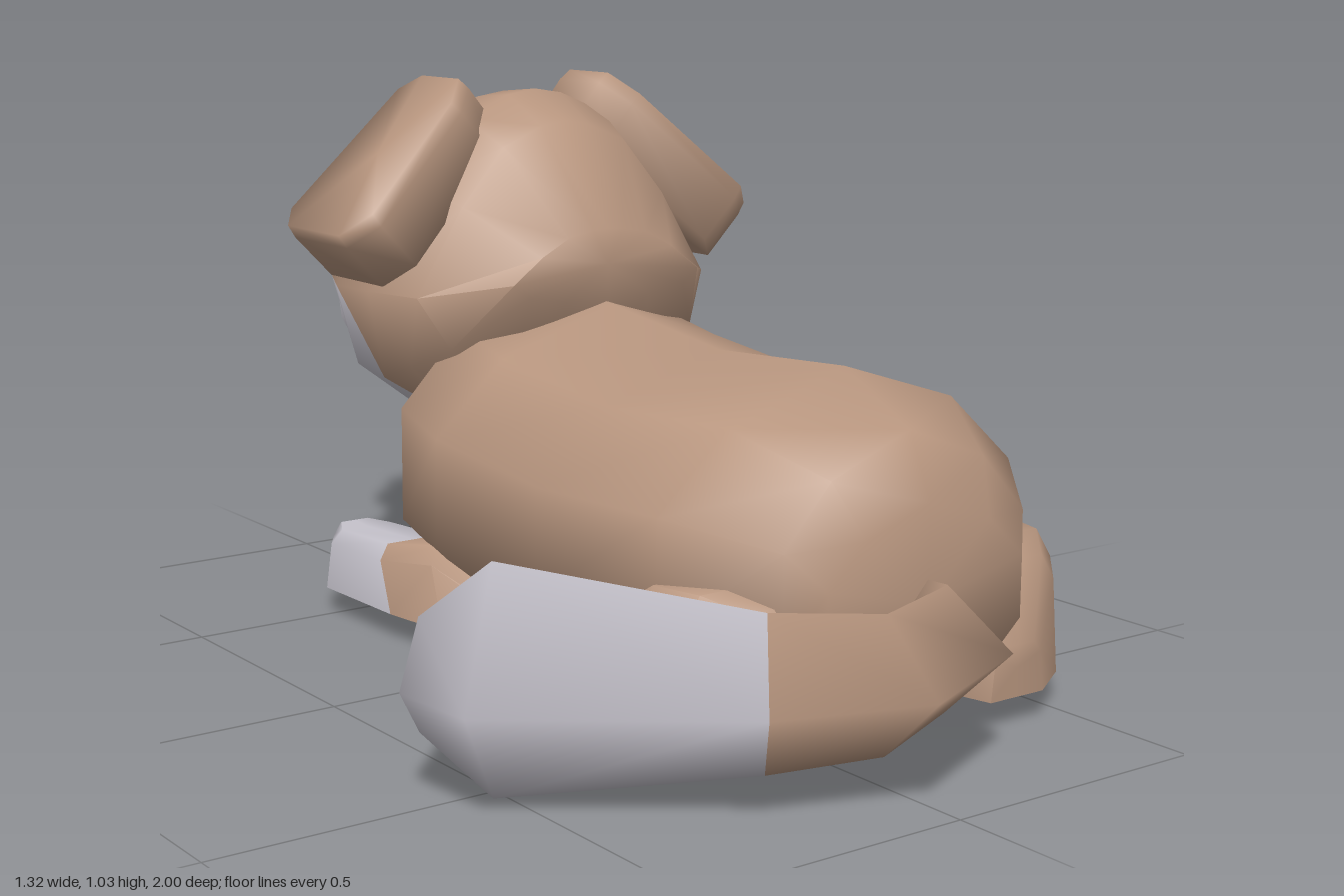
import * as THREE from 'three';
import { toCreasedNormals } from 'three/addons/utils/BufferGeometryUtils.js';

const CX = 0.17; // the dog's own centre line

function flat(name, color) {
  const m = new THREE.MeshStandardMaterial({ color });
  m.name = name;
  return m;
}

// Skin closed rings that run counter-clockwise about the direction of travel.
// pick(segment, column, triangle) returns 0 or 1; segment -1 and rings-1 are the caps.
function loft(name, rings, materials, pick = () => 0, crease = 1.1) {
  const sets = materials.map(() => []);
  const n = rings[0].length;
  const add = (k, ...pts) => pts.forEach((p) => sets[k].push(p.x, p.y, p.z));
  for (let i = 0; i < rings.length - 1; i++) {
    for (let j = 0; j < n; j++) {
      const k = (j + 1) % n;
      const a = rings[i][j], b = rings[i][k], c = rings[i + 1][k], d = rings[i + 1][j];
      const first = j < n / 2;
      const col = first ? j : n - 1 - j;
      if (first) {
        add(pick(i, col, 0), a, b, c);
        add(pick(i, col, 1), a, c, d);
      } else {
        add(pick(i, col, 0), a, b, d);
        add(pick(i, col, 1), b, c, d);
      }
    }
  }
  [[-1, rings[0]], [rings.length - 1, rings[rings.length - 1]]].forEach(([seg, ring]) => {
    const mid = ring.reduce((s, p) => s.add(p), new THREE.Vector3()).divideScalar(n);
    for (let j = 0; j < n; j++) {
      const p = ring[j], q = ring[(j + 1) % n];
      if (seg < 0) add(pick(seg, 0, 0), mid, q, p);
      else add(pick(seg, 0, 0), mid, p, q);
    }
  });
  let geo = new THREE.BufferGeometry();
  geo.setAttribute('position', new THREE.Float32BufferAttribute(sets.flat(), 3));
  geo = toCreasedNormals(geo, crease);
  let start = 0;
  sets.forEach((s, i) => {
    if (s.length) geo.addGroup(start, s.length / 3, i);
    start += s.length / 3;
  });
  const mesh = new THREE.Mesh(geo, materials);
  mesh.name = name;
  return mesh;
}

// Mirrored cross-section from a half outline [x 0..1, y 0..1], listed top to bottom.
// Heights above sillT stretch from sill to top, the rest from bottom to sill.
// The section leans forward by shear as it rises, up to height shearT.
function section(half, { z, x = CX, w, bot, top, shear = 0, shearT = 1, sillT = 0.5, sill }) {
  const s = sill ?? bot + sillT * (top - bot);
  const at = ([px, t], side) => {
    const y = t >= sillT ? s + ((t - sillT) / (1 - sillT)) * (top - s) : bot + (t / sillT) * (s - bot);
    return new THREE.Vector3(x + side * px * w, y, z - shear * Math.min(t, shearT));
  };
  return [...half.map((p) => at(p, 1)), ...half.slice(1, -1).reverse().map((p) => at(p, -1))];
}

export function createModel() {
  const dog = new THREE.Group();
  dog.name = 'lyingDog';
  const brown = flat('brown fur', 0xb8967f);
  const white = flat('pale fur', 0xc6c3cc);
  const dark = flat('nose and eyes', 0x817a8e);
  const fur = [brown, white];

  // Body, rump to chest, with pale belly and chest
  const bodyHalf = [[0, 1], [0.63, 0.86], [1, 0.63], [1, 0.28], [0.62, 0.05], [0, 0]];
  const bodyRings = [
    [0.74, 0.21, 0.1, 0.41], [0.69, 0.26, 0.07, 0.52], [0.53, 0.385, 0.05, 0.6],
    [0.2, 0.388, 0.05, 0.58], [-0.12, 0.385, 0.05, 0.62], [-0.28, 0.36, 0.06, 0.66],
    [-0.48, 0.23, 0.1, 0.44],
  ].map(([z, w, bot, top]) => section(bodyHalf, { z, w, bot, top }));
  dog.add(loft('body', bodyRings, fur, (seg, col) => (seg === 6 || (seg > 0 && col === 4) ? 1 : 0)));

  // Head with pale cheeks and a blaze widening toward the muzzle
  const headHalf = [[0, 1], [0.16, 0.985], [0.42, 0.92], [0.7, 0.72], [1, 0.42], [0.84, 0.15], [0.45, 0], [0, 0]];
  const headRings = [
    [-0.13, 0.21, 0.63, 0.67, 0.76, 0], [-0.22, 0.33, 0.49, 0.64, 0.95, 0.12], [-0.29, 0.375, 0.425, 0.645, 1.005, 0.19],
    [-0.37, 0.38, 0.375, 0.645, 0.995, 0.26], [-0.55, 0.35, 0.375, 0.655, 0.965, 0], [-0.65, 0.29, 0.4, 0.67, 0.9, 0],
    [-0.75, 0.215, 0.46, 0.68, 0.71, 0],
  ].map(([z, w, bot, sill, top, shear]) =>
    section(headHalf, { z, w, bot, top, sill, sillT: 0.42, shear, shearT: 0.42 }));
  dog.add(loft('head', headRings, fur, (seg, col, tri) => {
    if (seg === 6) return 1;
    if (col >= 4) return seg >= 3 ? 1 : 0;
    const fullCols = seg - 3; // blaze columns painted whole, then one half column
    return seg >= 4 && (col < fullCols || (col === fullCols && tri === 1)) ? 1 : 0;
  }));

  // Muzzle
  const muzzleHalf = [[0, 1], [0.85, 1], [1, 0.75], [0.95, 0.3], [0.72, 0], [0, 0]];
  dog.add(loft('muzzle', [
    section(muzzleHalf, { z: -0.7, w: 0.155, bot: 0.45, top: 0.68 }),
    section(muzzleHalf, { z: -0.915, w: 0.125, bot: 0.445, top: 0.635, shear: 0.02 }),
  ], [white], undefined, 1.3));

  // Nose, a short six-sided plug
  const nose = new THREE.Mesh(new THREE.CylinderGeometry(0.073, 0.073, 0.08, 6, 1, false, Math.PI / 2), dark);
  nose.name = 'nose';
  nose.scale.z = 0.84;
  nose.rotation.x = Math.PI / 2 - 0.12;
  nose.position.set(CX, 0.62, -0.955);
  dog.add(nose);

  // Ear outline: u runs up the slab, then z
  const earOutline = [
    [0, -0.31], [0, -0.5], [0.04, -0.54], [0.36, -0.54], [0.4, -0.5], [0.4, -0.37], [0.34, -0.325], [0.06, -0.265],
  ];
  // Leg outline and rings: z, offset from centre line, half width, height, shear
  const legHalf = [[0, 1], [0.6, 1], [0.87, 0.78], [1, 0], [0, 0]];
  const legs = {
    hindLeg: [
      [0.74, 0.21, 0.06, 0.09, 0], [0.68, 0.25, 0.115, 0.215, 0], [0.62, 0.29, 0.13, 0.24, 0],
      [0.53, 0.31, 0.135, 0.24, 0], [0.42, 0.345, 0.11, 0.12, 0.08], [0.18, 0.385, 0.1, 0.115, 0],
      [0.12, 0.375, 0.06, 0.11, -0.01],
    ],
    frontLeg: [
      [0.05, 0.24, 0.04, 0.01, 0], [-0.13, 0.28, 0.09, 0.14, 0.07], [-0.28, 0.295, 0.095, 0.115, 0.07],
      [-0.51, 0.305, 0.09, 0.11, 0], [-0.585, 0.3, 0.05, 0.11, -0.02],
    ],
  };

  for (const s of [1, -1]) {
    const side = s > 0 ? 'Left' : 'Right';

    // Floppy ear slab
    const slab = (n, k) => {
      const ring = earOutline.map(([u, z]) => {
        const v = (u - 0.2) * k;
        return new THREE.Vector3(CX + s * (0.275 - 0.74 * v + 0.67 * n), 0.845 + 0.67 * v + 0.74 * n, -0.4 + (z + 0.4) * k);
      });
      return s > 0 ? ring : ring.reverse();
    };
    dog.add(loft('ear' + side, [slab(-0.067, 1), slab(0.04, 1.02), slab(0.068, 1)], [brown], undefined, 1.6));

    // Eye, turned slightly outward
    const eye = new THREE.Mesh(new THREE.CylinderGeometry(0.055, 0.055, 0.02, 6), dark);
    eye.name = 'eye' + side;
    eye.rotation.set(Math.PI / 2, 0, s * 0.3);
    eye.scale.set(1.1, 1, 1.12);
    eye.position.set(CX + s * 0.165, 0.715, -0.752);
    dog.add(eye);

    // Legs with pale paws and brown soles
    for (const [name, rings] of Object.entries(legs)) {
      const pawSeg = rings.length - 3;
      const skin = rings.map(([z, off, w, h, shear]) =>
        section(legHalf, { z, x: CX + s * off, w, bot: 0.05, top: 0.05 + h, shear }));
      dog.add(loft(name + side, skin, fur, (seg, col) => (seg >= pawSeg && col !== 3 ? 1 : 0)));
    }
  }

  // Four-sided tail curling round to one side, with a thick pale tip
  const tail = [
    [0.185, 0.68, 0.09], [0.155, 0.8, 0.105], [-0.05, 0.885, 0.112],
    [-0.225, 0.815, 0.126], [-0.52, 0.525, 0.187], [-0.595, 0.435, 0.092],
  ];
  const tailRings = tail.map(([x, z, r], i) => {
    const p = tail[Math.max(i - 1, 0)], q = tail[Math.min(i + 1, tail.length - 1)];
    const dir = new THREE.Vector3(q[0] - p[0], 0, q[1] - p[1]).normalize();
    const u = new THREE.Vector3(0, 1, 0).cross(dir);
    return Array.from({ length: 4 }, (_, j) => {
      const a = (j / 4) * Math.PI * 2;
      return new THREE.Vector3(x, 0.187 + r * Math.sin(a), z).addScaledVector(u, r * Math.cos(a));
    });
  });
  dog.add(loft('tail', tailRings, fur, (seg) => (seg >= 3 ? 1 : 0), 1.7));

  return dog;
}
